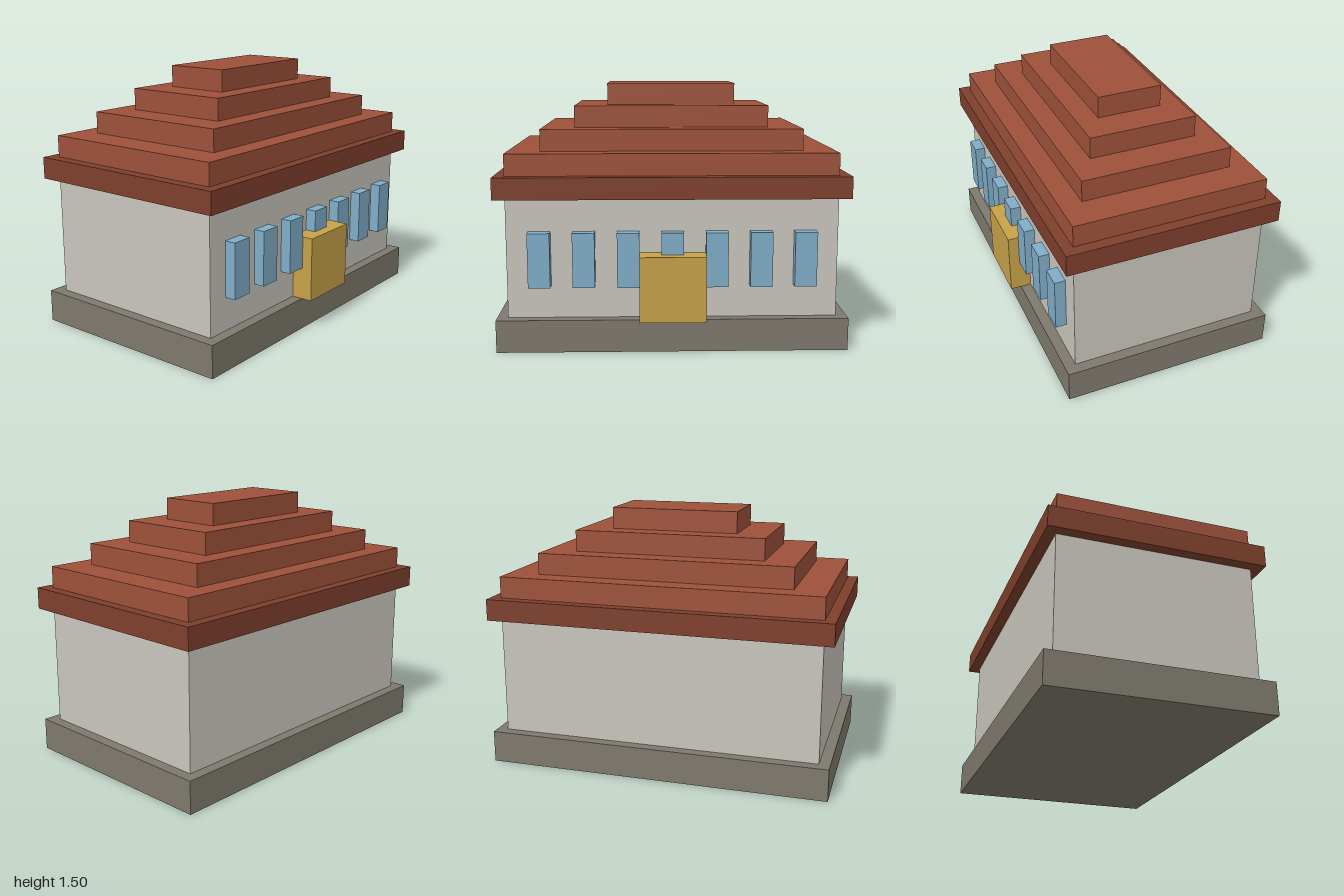
import * as THREE from 'three';

const U = 1 / 16; // building module
const Z = -U / 2; // centre of the main volume, leaving room for the door

function material(name, color) {
  const m = new THREE.MeshStandardMaterial({ color });
  m.name = name;
  return m;
}

export function createModel() {
  const stone = material('stone', 0x7e796d);
  const plaster = material('plaster', 0xc9c5bd);
  const eaveTile = material('dark roof tile', 0x7e3f2c);
  const roofTile = material('roof tile', 0x9d513a);
  const glass = material('window blue', 0x80adc8);
  const gold = material('door gold', 0xc7a148);

  const model = new THREE.Group();
  model.name = 'building';

  // Adds a box given its size in modules, the height of its underside and its place
  function block(name, mat, w, h, d, bottom, x = 0, z = Z) {
    const mesh = new THREE.Mesh(new THREE.BoxGeometry(w * U, h * U, d * U), mat);
    mesh.name = name;
    mesh.position.set(x, (bottom + h / 2) * U, z);
    model.add(mesh);
  }

  block('plinth', stone, 32, 3, 20, 0);
  block('walls', plaster, 30, 11, 18, 3);
  block('eaves', eaveTile, 32, 2, 20, 14);

  // Stepped roof
  for (let i = 0; i < 4; i++) {
    block(`roofTier${i + 1}`, roofTile, 30 - 6 * i, 2, 18 - 4 * i, 16 + 2 * i);
  }

  // Projecting windows and door on the front wall
  const front = Z + 9 * U;
  for (let i = -3; i <= 3; i++) {
    block(`window${i + 4}`, glass, 2, 5, 1, 6, i * 4 * U, front + U / 2);
  }
  block('door', gold, 6, 6, 2, 3, 0, front + U);

  return model;
}
